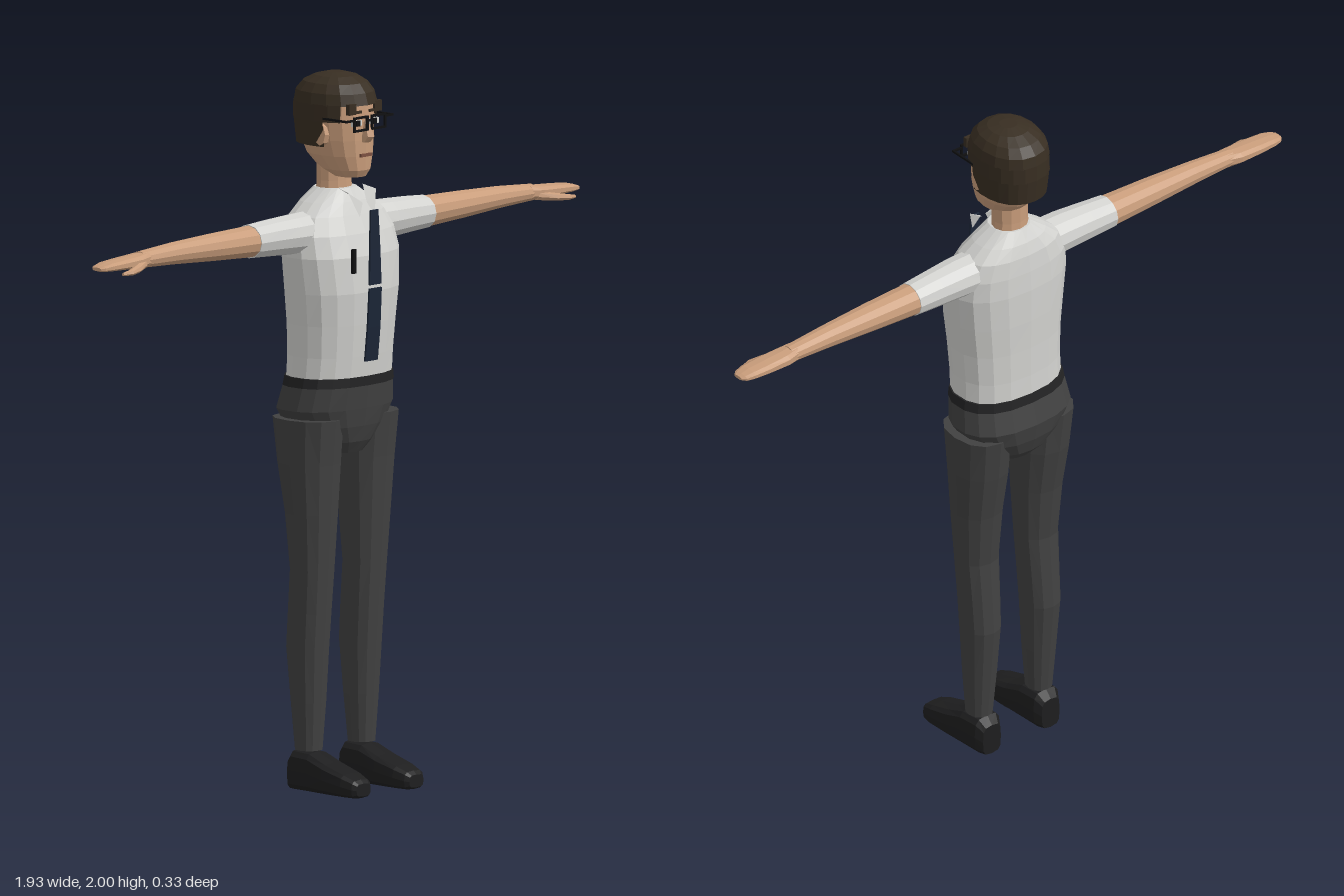
import * as THREE from 'three';

const mat = (name, color, side = THREE.FrontSide) => {
  const m = new THREE.MeshStandardMaterial({ color, side });
  m.name = name;
  return m;
};

// Faceted loft along an axis. Ring: [position, uMin, uMax, vMin, vMax],
// where (u, v) is (z, x) for axis y, (y, z) for axis x and (x, y) for axis z.
function loft(axis, rings, { n = 12, e = 2, a0 = 0, a1 = Math.PI * 2 } = {}) {
  const full = a1 - a0 > 6.28, out = [];
  const place = (p, u, v) => axis === 'y' ? [v, p, u] : axis === 'x' ? [p, u, v] : [u, v, p];
  const bend = (t) => Math.sign(t) * Math.abs(t) ** (2 / e);
  const point = ([p, ua, ub, va, vb], i) => {
    const a = a0 + (a1 - a0) * (full ? i % n : i) / n;
    return place(p, (ua + ub) / 2 + bend(Math.cos(a)) * (ub - ua) / 2,
      (va + vb) / 2 + bend(Math.sin(a)) * (vb - va) / 2);
  };
  const middle = ([p, ua, ub, va, vb]) => place(p, (ua + ub) / 2, (va + vb) / 2);
  const last = rings[rings.length - 1];
  for (let i = 0; i < n; i++) {
    for (let r = 0; r < rings.length - 1; r++) {
      const a = point(rings[r], i), b = point(rings[r], i + 1);
      const c = point(rings[r + 1], i + 1), d = point(rings[r + 1], i);
      out.push(...a, ...b, ...c, ...a, ...c, ...d);
    }
    if (full) {
      out.push(...middle(rings[0]), ...point(rings[0], i + 1), ...point(rings[0], i));
      out.push(...middle(last), ...point(last, i), ...point(last, i + 1));
    }
  }
  return fromPoints(out);
}

function fromPoints(points) {
  const g = new THREE.BufferGeometry();
  g.setAttribute('position', new THREE.Float32BufferAttribute(points, 3));
  g.computeVertexNormals();
  return g;
}

// Mirror in x and restore the corner order
function mirrored(geo) {
  const p = (geo.index ? geo.toNonIndexed() : geo).attributes.position, out = [];
  for (let i = 0; i < p.count; i += 3)
    for (const k of [i, i + 2, i + 1]) out.push(-p.getX(k), p.getY(k), p.getZ(k));
  return fromPoints(out);
}

const box = (w, h, d, x, y, z) => new THREE.BoxGeometry(w, h, d).translate(x, y, z);
// Symmetric ring for upright parts: y, back z, front z, half width
const sym = (rows) => rows.map(([y, zb, zf, w]) => [y, zb, zf, -w, w]);

export function createModel() {
  const model = new THREE.Group();
  model.name = 'officeWorker';
  const shirt = mat('shirt grey', 0xd2d2cf, THREE.DoubleSide);
  const skin = mat('skin', 0xc99d7b);
  const hair = mat('hair brown', 0x382e22, THREE.DoubleSide);
  const trousers = mat('trouser grey', 0x414141);
  const belt = mat('belt charcoal', 0x232324);
  const shoe = mat('shoe black', 0x1e1e1f);
  const navy = mat('tie navy', 0x1b2536);
  const black = mat('glasses black', 0x101011);
  const white = mat('eye white', 0xd8d8d2);
  const lip = mat('lip brown', 0x7c5040);

  const add = (name, geo, material) => {
    const m = new THREE.Mesh(geo, material);
    m.name = name;
    model.add(m);
  };
  const pair = (name, geo, material) => {
    add(name + 'Left', geo, material);
    add(name + 'Right', mirrored(geo), material);
  };

  // Torso and hips
  add('shirtBody', loft('y', sym([
    [1.155, -0.14, 0.085, 0.165], [1.22, -0.138, 0.092, 0.163], [1.31, -0.138, 0.1, 0.168],
    [1.4, -0.14, 0.106, 0.178], [1.5, -0.14, 0.096, 0.188], [1.56, -0.136, 0.075, 0.182],
    [1.61, -0.13, 0.052, 0.155], [1.645, -0.118, 0.035, 0.11], [1.68, -0.098, 0.015, 0.056],
  ]), { n: 18, e: 2.4 }), shirt);
  add('belt', loft('y', sym([
    [1.135, -0.147, 0.086, 0.175], [1.162, -0.143, 0.086, 0.17],
  ]), { n: 18, e: 2.4 }), belt);
  add('hips', loft('y', sym([
    [0.943, -0.11, 0.035, 0.065], [0.975, -0.14, 0.055, 0.1], [1.02, -0.157, 0.068, 0.15],
    [1.07, -0.165, 0.076, 0.184], [1.137, -0.146, 0.084, 0.174],
  ]), { n: 18, e: 2.4 }), trousers);

  // Legs and shoes
  pair('leg', loft('y', [
    [0.115, -0.08, -0.004, 0.07, 0.143], [0.25, -0.093, 0.006, 0.06, 0.152],
    [0.4, -0.107, 0.015, 0.053, 0.16], [0.5, -0.1, 0.022, 0.05, 0.162],
    [0.62, -0.09, 0.031, 0.046, 0.166], [0.78, -0.105, 0.042, 0.037, 0.177],
    [0.92, -0.13, 0.052, 0.03, 0.187], [1.045, -0.145, 0.065, 0.03, 0.193],
  ], { n: 12, e: 2.3 }), trousers);
  pair('shoe', loft('z', [
    [-0.096, 0.073, 0.137, 0, 0.092], [-0.075, 0.06, 0.15, 0, 0.115],
    [-0.01, 0.057, 0.154, 0, 0.112], [0.05, 0.055, 0.156, 0, 0.088],
    [0.12, 0.058, 0.154, 0, 0.066], [0.155, 0.068, 0.145, 0, 0.052],
    [0.166, 0.078, 0.135, 0.006, 0.042],
  ], { n: 12, e: 3.5 }), shoe);

  // Arms with short sleeves
  pair('sleeve', loft('x', [
    [0.1, 1.505, 1.625, -0.1, 0.025], [0.19, 1.51, 1.622, -0.096, 0.026],
    [0.27, 1.514, 1.618, -0.093, 0.018], [0.352, 1.518, 1.612, -0.09, 0.012],
  ]), shirt);
  pair('forearm', loft('x', [
    [0.345, 1.52, 1.61, -0.088, 0.01], [0.5, 1.528, 1.606, -0.083, 0.004],
    [0.65, 1.537, 1.6, -0.076, -0.006], [0.79, 1.543, 1.59, -0.07, -0.014],
  ]), skin);
  pair('hand', loft('x', [
    [0.77, 1.544, 1.59, -0.069, -0.014], [0.81, 1.545, 1.585, -0.077, -0.006],
    [0.88, 1.549, 1.58, -0.077, -0.004], [0.93, 1.551, 1.576, -0.073, -0.006],
    [0.955, 1.553, 1.57, -0.066, -0.012], [0.966, 1.556, 1.566, -0.054, -0.022],
  ], { n: 10, e: 2.5 }), skin);
  pair('thumb', loft('x', [
    [0.79, 1.545, 1.572, -0.035, -0.01], [0.84, 1.54, 1.563, -0.018, 0.014],
    [0.88, 1.539, 1.556, 0, 0.024], [0.912, 1.541, 1.55, 0.006, 0.015],
  ], { n: 7 }), skin);

  // Neck, head, nose and ears
  add('neck', loft('y', sym([
    [1.65, -0.095, 0.002, 0.056], [1.7, -0.092, 0, 0.053], [1.78, -0.092, 0, 0.055],
  ]), { n: 12 }), skin);
  add('head', loft('y', sym([
    [1.715, -0.03, 0.06, 0.04], [1.735, -0.08, 0.072, 0.058], [1.775, -0.122, 0.074, 0.075],
    [1.82, -0.145, 0.075, 0.084], [1.88, -0.152, 0.074, 0.089], [1.925, -0.145, 0.072, 0.087],
    [1.955, -0.11, 0.045, 0.066],
  ]), { n: 16, e: 2.3 }), skin);
  add('nose', loft('y', sym([
    [1.815, 0.06, 0.088, 0.016], [1.832, 0.06, 0.106, 0.015], [1.875, 0.06, 0.08, 0.007],
  ]), { n: 6 }), skin);
  pair('ear', loft('x', [
    [0.075, 1.805, 1.865, -0.025, 0.012], [0.094, 1.805, 1.87, -0.035, 0.008],
  ], { n: 8 }), skin);

  // Hair: crown, temples and the longer back
  add('hairCrown', loft('y', sym([
    [1.918, -0.164, 0.083, 0.1], [1.95, -0.158, 0.073, 0.095], [1.975, -0.135, 0.052, 0.08],
    [1.992, -0.1, 0.022, 0.055], [2, -0.065, -0.015, 0.025],
  ]), { n: 16, e: 2.2 }), hair);
  const lower = (y0, y1, start) => loft('y', sym([
    [y0, y0 < 1.85 ? -0.157 : -0.165, 0.08, y0 < 1.85 ? 0.094 : 0.1],
    [y1, y1 < 1.9 ? -0.165 : -0.164, 0.083, 0.1],
  ]), { n: 14, e: 2.2, a0: start, a1: Math.PI * 2 - start });
  add('hairTemples', lower(1.872, 1.92, 0.8), hair);
  add('hairBack', lower(1.802, 1.874, 1.27), hair);
  pair('fringeLock', box(0.028, 0.03, 0.012, 0.052, 1.91, 0.068), hair);

  // Eyes, brows and mouth
  pair('eyeWhite', box(0.036, 0.016, 0.008, 0.034, 1.87, 0.071), white);
  pair('pupil', box(0.013, 0.016, 0.004, 0.034, 1.87, 0.077), black);
  pair('brow', box(0.04, 0.007, 0.008, 0.036, 1.9, 0.071), hair);
  add('mouth', box(0.042, 0.009, 0.008, 0, 1.778, 0.073), lip);

  // Glasses
  for (const s of [-1, 1]) {
    pair(s < 0 ? 'lensRimLower' : 'lensRimUpper',
      box(0.054, 0.006, 0.006, 0.036, 1.87 + s * 0.018, 0.089), black);
    pair(s < 0 ? 'lensRimInner' : 'lensRimOuter',
      box(0.006, 0.042, 0.006, 0.036 + s * 0.026, 1.87, 0.089), black);
  }
  add('glassesBridge', box(0.024, 0.006, 0.006, 0, 1.877, 0.089), black);
  pair('glassesHinge', box(0.03, 0.006, 0.006, 0.077, 1.882, 0.087), black);
  pair('glassesTemple', box(0.005, 0.006, 0.1, 0.092, 1.882, 0.04), black);

  // Collar flaps, tie and pocket pen
  pair('collarFlap', fromPoints([
    0.008, 1.645, 0.07, 0.03, 1.607, 0.08, 0.056, 1.676, 0.06,
    0.008, 1.645, 0.07, 0.056, 1.676, 0.06, 0.05, 1.685, 0.015,
  ]), shirt);
  add('tieUpper', loft('y', sym([
    [1.42, 0.106, 0.113, 0.024], [1.52, 0.104, 0.111, 0.021], [1.628, 0.102, 0.109, 0.015],
  ]), { n: 12, e: 8 }), navy);
  add('tieLower', loft('y', sym([
    [1.205, 0.09, 0.097, 0.026], [1.3, 0.1, 0.107, 0.026], [1.41, 0.106, 0.113, 0.025],
  ]), { n: 12, e: 8 }), navy);
  add('pocketPen', box(0.012, 0.068, 0.009, -0.094, 1.496, 0.117), black);

  return model;
}
